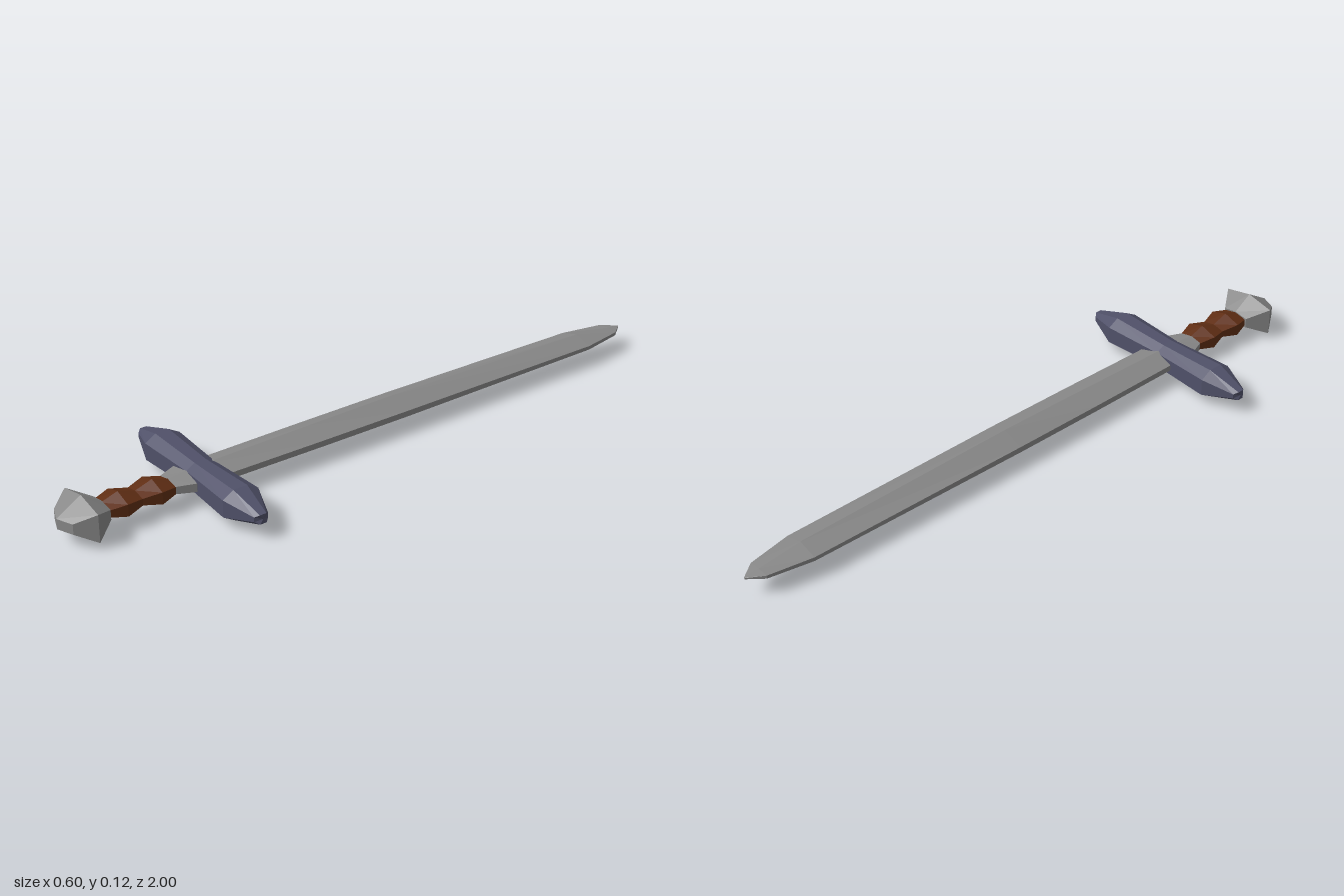
import * as THREE from 'three';

const MID_Y = 0.061; // height of the sword's long axis

// Six-sided ring: half width w, ridge half height h, edge half height e; bow pushes the ridge along z
function hex(z, w, h, e, bow = 0) {
  return [[w, e, z], [0, h, z + bow], [-w, e, z], [-w, -e, z], [0, -h, z + bow], [w, -e, z]];
}

// Eight-sided ring: outer half width w with half height e, flat top of half width t at height h
function oct(z, w, e, t, h, bow = 0) {
  return [[w, e, z], [t, h, z + bow], [-t, h, z + bow], [-w, e, z],
    [-w, -e, z], [-t, -h, z + bow], [t, -h, z + bow], [w, -e, z]];
}

// Skin a list of rings (in order of rising z) and close both ends
function loft(name, rings, color) {
  const n = rings[0].length;
  const pos = rings.flat(2);
  const index = [];
  for (let r = 0; r < rings.length - 1; r++) {
    for (let i = 0; i < n; i++) {
      const a = r * n + i, b = r * n + (i + 1) % n;
      index.push(a, b, b + n, a, b + n, a + n);
    }
  }
  [0, rings.length - 1].forEach((r) => {
    const p = rings[r][1], q = rings[r][1 + n / 2];
    const c = pos.length / 3;
    pos.push((p[0] + q[0]) / 2, (p[1] + q[1]) / 2, (p[2] + q[2]) / 2);
    for (let i = 0; i < n; i++) {
      const a = r * n + i, b = r * n + (i + 1) % n;
      if (r === 0) index.push(c, b, a);
      else index.push(c, a, b);
    }
  });
  const indexed = new THREE.BufferGeometry();
  indexed.setAttribute('position', new THREE.Float32BufferAttribute(pos, 3));
  indexed.setIndex(index);
  const geometry = indexed.toNonIndexed();
  geometry.computeVertexNormals();
  const mesh = new THREE.Mesh(geometry, new THREE.MeshStandardMaterial({ color, flatShading: true }));
  mesh.name = name;
  return mesh;
}

export function createModel() {
  const steel = 0x888888, blue = 0x505169, leather = 0x602e14;
  const sword = new THREE.Group();
  sword.name = 'sword';

  // Ridged blade with blunt edges, tapering to a point at the back
  sword.add(loft('blade', [
    hex(-1, 0.002, 0.003, 0.002),
    hex(-0.955, 0.035, 0.008, 0.005),
    hex(-0.82, 0.06, 0.023, 0.006),
    hex(-0.1, 0.065, 0.035, 0.009),
    hex(0.2, 0.064, 0.032, 0.009),
    hex(0.56, 0.06, 0.027, 0.009),
  ], steel));

  // Cross guard, lofted along its length and turned across the blade
  const half = [oct(0.195, 0.056, 0.026, 0.022, 0.046), oct(0.29, 0.022, 0.007, 0.01, 0.014, 0.01)];
  const mirrored = half.map((ring) => ring.map(([x, y, z]) => [x, y, -z])).reverse();
  const guard = loft('crossGuard', [...mirrored, oct(0, 0.046, 0.023, 0.018, 0.039), ...half], blue);
  guard.rotation.y = Math.PI / 2;
  guard.position.z = 0.56;
  sword.add(guard);

  // Collar between guard and grip
  sword.add(loft('collar', [hex(0.56, 0.064, 0.025, 0.014), hex(0.61, 0.06, 0.024, 0.013),
    hex(0.665, 0.038, 0.019, 0.011)], steel));

  // Grip with two swellings
  const grip = [0, 1, 2, 3, 4].map((i) => {
    const swell = i % 2;
    return hex(0.66 + i * 0.0525, swell ? 0.053 : 0.038, swell ? 0.035 : 0.018, swell ? 0.018 : 0.01);
  });
  sword.add(loft('grip', grip, leather));

  // Faceted pommel with a bowed end
  sword.add(loft('pommel', [
    hex(0.865, 0.044, 0.022, 0.015),
    hex(0.925, 0.088, 0.061, 0.042),
    hex(0.98, 0.05, 0.0155, 0.0155, 0.02),
  ], steel));

  sword.children.forEach((part) => { part.position.y = MID_Y; });
  return sword;
}
